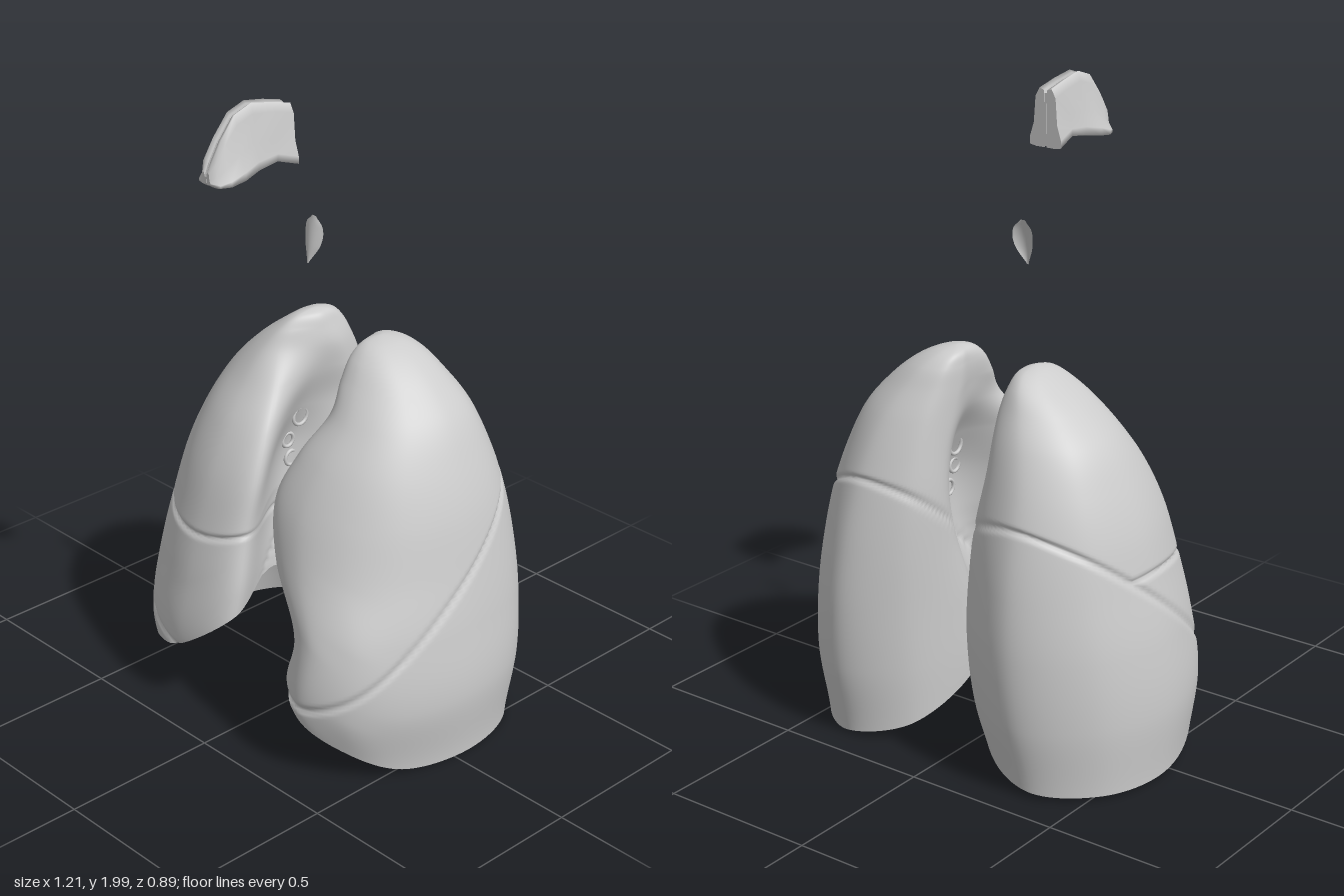
import * as THREE from 'three';

const tissue = new THREE.MeshStandardMaterial({ color: 0xcccccc });
tissue.name = 'pale grey tissue';
const sheet = new THREE.MeshStandardMaterial({ color: 0xcccccc, side: THREE.DoubleSide });
sheet.name = 'pale grey thin sheet';

const mix = THREE.MathUtils.lerp;

// Smooth surface from rows of points; closed rows share their seam
function grid(rows, closed, flip) {
  const n = rows[0].length, pos = [], index = [];
  rows.forEach(r => r.forEach(p => pos.push(p.x, p.y, p.z)));
  for (let j = 0; j < rows.length - 1; j++) {
    for (let i = 0; i < (closed ? n : n - 1); i++) {
      const k = (i + 1) % n;
      const a = j * n + i, b = j * n + k, c = a + n, d = b + n;
      if (flip) index.push(a, c, b, b, c, d);
      else index.push(a, b, c, b, d, c);
    }
  }
  const g = new THREE.BufferGeometry();
  g.setAttribute('position', new THREE.Float32BufferAttribute(pos, 3));
  g.setIndex(index);
  g.computeVertexNormals();
  return g;
}

function add(group, name, geometry, material = tissue) {
  const m = new THREE.Mesh(geometry, material);
  m.name = name;
  group.add(m);
  return m;
}

// Catmull-Rom lookup in a column of evenly spaced values
function sample(col, t) {
  const f = THREE.MathUtils.clamp(t, 0, 1) * (col.length - 1);
  const i = Math.min(Math.floor(f), col.length - 2), u = f - i;
  const p = k => col[THREE.MathUtils.clamp(k, 0, col.length - 1)];
  const a = p(i - 1), b = p(i), c = p(i + 1), d = p(i + 2);
  return b + 0.5 * u * (c - a + u * (2 * a - 5 * b + 4 * c - d + u * (3 * (b - c) + d - a)));
}

// Signed distances from the fissures between lobes
const oblique = (p, low) => (p.y - low - 0.77 * (0.41 - p.z)) / 1.26;
const horizontal = p => p.y - 0.59 - 0.07 * ((p.x + 0.25) / 0.3) ** 2;

// Profile columns run from apex (0) to base (1), spaced by sqrt of depth below the apex:
// zf, zb front and back; xo outer side; xi, fi rear medial ridge; xf front edge; xh hilum
const depth = {
  zf: [-0.1, -0.035, 0.015, 0.065, 0.13, 0.215, 0.285, 0.335, 0.382, 0.41, 0.35],
  zb: [-0.1, -0.165, -0.215, -0.257, -0.307, -0.352, -0.393, -0.425, -0.442, -0.435, -0.4],
};
const leftLung = {
  ...depth, name: 'leftLung', side: 1, top: 1.23, low: 0.245, dome: 0.44,
  xo: [0.14, 0.2, 0.27, 0.345, 0.42, 0.475, 0.522, 0.555, 0.585, 0.603, 0.575],
  xi: [0.14, 0.1, 0.09, 0.09, 0.095, 0.1, 0.1, 0.1, 0.095, 0.09, 0.1],
  fi: [0.33, 0.33, 0.33, 0.32, 0.29, 0.26, 0.27, 0.33, 0.41, 0.44, 0.42],
  xf: [0.14, 0.12, 0.11, 0.115, 0.13, 0.085, 0.05, 0.1, 0.225, 0.2, 0.2],
  xh: [0.14, 0.105, 0.095, 0.1, 0.12, 0.18, 0.23, 0.23, 0.2, 0.16, 0.15],
  rim: [0.02, 0.01, 0.01, 0.025, 0.1, 0.2, 0.29, 0.34, 0.19, 0.06],
};
const rightLung = {
  ...depth, name: 'rightLung', side: -1, top: 1.225, low: 0.215, dome: 0.48,
  xo: [0.15, 0.19, 0.245, 0.325, 0.41, 0.47, 0.52, 0.555, 0.59, 0.607, 0.59],
  xi: [0.15, 0.12, 0.105, 0.09, 0.09, 0.09, 0.06, 0.03, 0.012, 0.03, 0.1],
  fi: [0.33, 0.33, 0.32, 0.29, 0.25, 0.22, 0.27, 0.36, 0.4, 0.4, 0.38],
  xf: [0.15, 0.145, 0.15, 0.15, 0.11, 0.065, 0.04, 0.04, 0.03, 0.05, 0.1],
  xh: [0.15, 0.12, 0.105, 0.095, 0.105, 0.14, 0.18, 0.18, 0.15, 0.13, 0.14],
  rim: [0.03, 0.02, 0.02, 0.05, 0.15, 0.225, 0.37, 0.4, 0.3, 0.09],
};

function lung(spec) {
  const group = new THREE.Group();
  group.name = spec.name;
  const { side, top, rim, low } = spec, cols = 120, levels = 210;
  const at = (key, a) => sample(spec[key], a);

  // Control point i of the outline: back, lateral, front, then medial face
  function control(i, a) {
    const xo = at('xo', a), xi = at('xi', a), xf = at('xf', a), zb = at('zb', a), zf = at('zf', a);
    const fi = at('fi', a);
    const [x, f] = [
      [mix(xi, xo, 0.5), 0], [mix(xi, xo, 0.87), 0.16], [xo, 0.46], [mix(xf, xo, 0.87), 0.77],
      [mix(xf, xo, 0.64), 0.93], [mix(xf, xo, 0.3), 1], [xf, 0.93],
      [at('xh', a), Math.max(0.55, fi + 0.2)], [xi, fi], [mix(xi, xo, 0.12), fi * 0.3],
    ][i];
    return new THREE.Vector3(x * side, top * (1 - a * a), mix(zb, zf, f));
  }

  const rows = [];
  for (let j = 0; j <= levels; j++) {
    const ring = rim.map((r, i) => control(i, Math.sqrt(1 - r / top) * (1 - j / levels)));
    const curve = new THREE.CatmullRomCurve3(ring, true, 'centripetal');
    const row = Array.from({ length: cols }, (_, i) => curve.getPoint(i / cols));
    const centre = row.reduce((s, p) => s.add(p), new THREE.Vector3()).divideScalar(cols);
    // Press the fissures into the surface
    row.forEach(p => {
      const o = oblique(p, low);
      let groove = Math.exp(-((o / 0.008) ** 2));
      if (side < 0 && o > 0) groove = Math.max(groove, Math.exp(-((horizontal(p) / 0.008) ** 2)));
      const inward = new THREE.Vector3(centre.x - p.x, 0, centre.z - p.z);
      if (inward.length() > 0.02) p.addScaledVector(inward.normalize(), 0.01 * groove);
    });
    rows.push(row);
  }

  // Divide the outer surface into lobes
  const skin = grid(rows, true, side > 0);
  const lobes = { upperLobe: [], middleLobe: [], lowerLobe: [] };
  const idx = skin.index.array, pos = skin.attributes.position, c = new THREE.Vector3();
  for (let t = 0; t < idx.length; t += 3) {
    c.set(0, 0, 0);
    for (let k = 0; k < 3; k++) c.add(new THREE.Vector3().fromBufferAttribute(pos, idx[t + k]));
    c.divideScalar(3);
    const lobe = oblique(c, low) < 0 ? 'lowerLobe' : side < 0 && horizontal(c) < 0 ? 'middleLobe' : 'upperLobe';
    lobes[lobe].push(idx[t], idx[t + 1], idx[t + 2]);
  }
  for (const [name, list] of Object.entries(lobes)) {
    if (!list.length) continue;
    const g = skin.clone();
    g.setIndex(list);
    add(group, name, g);
  }

  // Hollow underside that rests on the diaphragm, steep near the rim
  const peak = new THREE.Vector3(0.32 * side, spec.dome, 0), base = [];
  for (let j = 0; j <= 16; j++) {
    const s = j / 16;
    base.push(rows[0].map(p => new THREE.Vector3(
      mix(p.x, peak.x, s), mix(p.y, peak.y, 1 - (1 - s) ** 2.3), mix(p.z, peak.z, s))));
  }
  add(group, 'diaphragmSurface', grid(base, true, side < 0));

  // Airway and vessel openings on the medial face
  [[0.88, -0.04, 0.028], [0.81, -0.08, 0.022], [0.8, -0.01, 0.022], [0.73, -0.03, 0.024]].forEach(([y, z, r]) => {
    const ring = add(group, 'hilumOpening', new THREE.TorusGeometry(r, 0.006, 8, 20));
    ring.position.set(side * (at('xh', Math.sqrt(1 - y / top)) - 0.004), y, z);
    ring.rotation.y = Math.PI / 2;
  });
  return group;
}

// Nose cartilage: two solid side walls around a central septum
function nose() {
  const group = new THREE.Group();
  group.name = 'noseCartilage';
  // z, top, bottom, half width at top and bottom
  const stations = [
    [0.15, 1.97, 1.795, 0.036, 0.056], [0.22, 1.987, 1.818, 0.032, 0.047],
    [0.29, 2.0, 1.808, 0.025, 0.047], [0.35, 1.98, 1.797, 0.026, 0.06],
    [0.4, 1.92, 1.79, 0.028, 0.058], [0.43, 1.87, 1.79, 0.026, 0.045], [0.445, 1.835, 1.8, 0.014, 0.02],
  ];
  for (const side of [1, -1]) {
    const rows = stations.map(([z, t, b, tw, bw]) => [
      [0.005, b], [bw * 0.6, b], [bw, b + 0.004], [bw, mix(b, t, 0.15)], [mix(bw, tw, 0.7), mix(b, t, 0.4)],
      [tw, mix(b, t, 0.85)], [tw * 0.6, t], [0.005, t - 0.006], [0.005, mix(b, t, 0.5)],
    ].map(([x, y]) => new THREE.Vector3(x * side, y, z)));
    add(group, 'noseSideWall', grid(rows, true, side < 0));
    // Flat ends, drawn in from their own copy of the outline
    for (const [row, front] of [[rows[0], false], [rows[rows.length - 1], true]]) {
      const mid = row.reduce((s, p) => s.add(p), new THREE.Vector3()).divideScalar(row.length);
      add(group, front ? 'noseTipEnd' : 'noseBackEnd', grid([row, row.map(() => mid)], true, front === side < 0));
    }
  }

  const outline = [...stations.map(s => [s[0], s[1] - 0.014]), ...stations.slice().reverse().map(s => [s[0], s[2] + 0.004])];
  const septum = new THREE.ExtrudeGeometry(new THREE.Shape(outline.map(([z, y]) => new THREE.Vector2(-z, y))),
    { depth: 0.009, bevelEnabled: false });
  septum.translate(0, 0, -0.0045).rotateY(Math.PI / 2);
  add(group, 'septum', septum);
  return group;
}

// Epiglottis: a small folded leaf, pointed below
function epiglottis() {
  const width = [0.003, 0.015, 0.028, 0.035, 0.037, 0.031, 0.008], rows = [];
  for (let j = 0; j <= 18; j++) {
    const t = j / 18, w = sample(width, t), row = [];
    for (let i = -6; i <= 6; i++) {
      const u = i / 6;
      row.push(new THREE.Vector3(u * w, 1.46 + 0.14 * t,
        0.066 - 0.026 * t + 0.012 * Math.sin(Math.PI * t) * (0.4 - 1.4 * u * u)));
    }
    rows.push(row);
  }
  return grid(rows, false, false);
}

export function createModel() {
  const model = new THREE.Group();
  model.name = 'respiratoryOrgans';
  model.add(lung(leftLung), lung(rightLung), nose());
  add(model, 'epiglottis', epiglottis(), sheet);
  return model;
}
